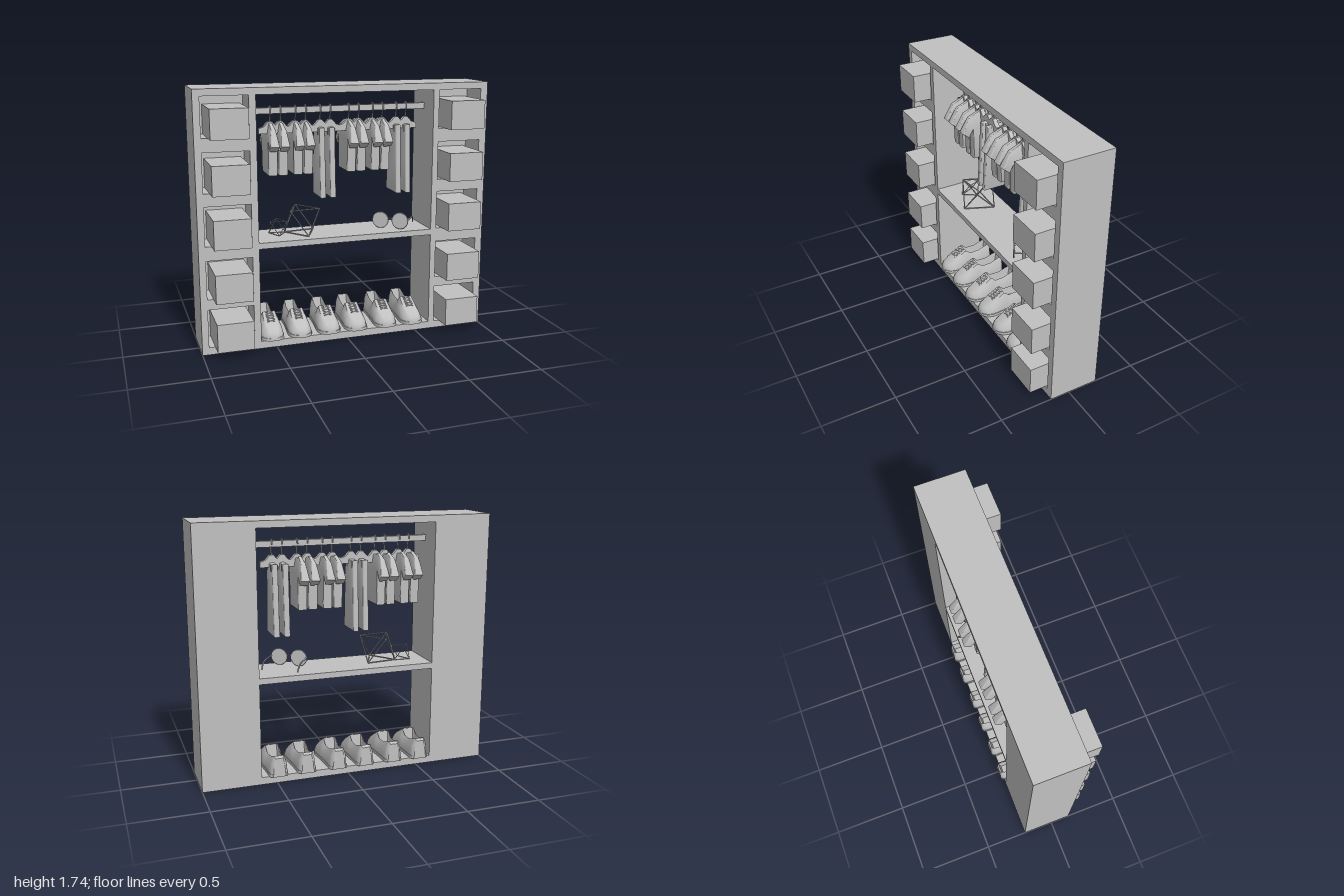
import * as THREE from 'three';
import { toCreasedNormals } from 'three/addons/utils/BufferGeometryUtils.js';

const grey = new THREE.MeshStandardMaterial({ color: 0xc0c0c0 });
grey.name = 'plain grey';

function add(parent, name, geometry) {
  const mesh = new THREE.Mesh(geometry, grey);
  mesh.name = name;
  parent.add(mesh);
  return mesh;
}

// Box given by its limits on each axis
function box(parent, name, x0, x1, y0, y1, z0, z1) {
  const mesh = add(parent, name, new THREE.BoxGeometry(x1 - x0, y1 - y0, z1 - z0));
  mesh.position.set((x0 + x1) / 2, (y0 + y1) / 2, (z0 + z1) / 2);
  return mesh;
}

// Round bar between two points
function strut(parent, name, a, b, r) {
  const mesh = add(parent, name, new THREE.CylinderGeometry(r, r, a.distanceTo(b), 6));
  mesh.position.copy(a).lerp(b, 0.5);
  mesh.quaternion.setFromUnitVectors(new THREE.Vector3(0, 1, 0), b.clone().sub(a).normalize());
}

function tube(parent, name, points, r, steps = 16) {
  const curve = new THREE.CatmullRomCurve3(points.map(p => new THREE.Vector3(...p)));
  return add(parent, name, new THREE.TubeGeometry(curve, steps, r, 6));
}

const shapeOf = points => new THREE.Shape(points.map(p => new THREE.Vector2(...p)));
const mirrored = half => [...half, ...half.slice().reverse().map(([x, y]) => [-x, y])];

// Cabinet: two towers with niches, joined by boards; open at the middle
function addCabinet(root) {
  const g = new THREE.Group();
  g.name = 'cabinet';
  root.add(g);
  const BACK = -0.21, FRONT = 0.135, NICHE = -0.07, TOP = 1.735;
  const levels = [0.05, 0.38, 0.735, 1.08, 1.43];
  for (const [x0, x1, n0] of [[-1, -0.605, -0.955], [0.605, 1, 0.645]]) {
    const face = shapeOf([[x0, 0], [x1, 0], [x1, TOP], [x0, TOP]]);
    for (const y of levels) {
      const hole = [[n0, y], [n0, y + 0.26], [n0 + 0.305, y + 0.26], [n0 + 0.305, y]];
      face.holes.push(new THREE.Path(hole.map(p => new THREE.Vector2(...p))));
      box(g, 'drawer', n0 + 0.04, n0 + 0.282, y + 0.001, y + 0.193, NICHE, 0.25);
    }
    add(g, 'towerFront', new THREE.ExtrudeGeometry(face, { depth: FRONT - NICHE, bevelEnabled: false }))
      .position.z = NICHE;
    box(g, 'towerBack', x0, x1, 0, TOP, BACK, NICHE);
  }
  for (const [name, y0, y1] of [['floorBoard', 0, 0.05], ['shelf', 0.69, 0.73], ['topBoard', 1.69, TOP]])
    box(g, name, -0.605, 0.605, y0, y1, BACK, FRONT);
  box(g, 'clothesRail', -0.605, 0.605, 1.55, 1.59, -0.055, -0.025);
}

// Flat garment in the side plane, thinner towards the top
function garmentGeometry(half, thickness, slimFrom, slimTo) {
  const bevel = 0.01;
  const geo = new THREE.ExtrudeGeometry(shapeOf(mirrored(half)), {
    depth: thickness - 2 * bevel, bevelThickness: bevel, bevelSize: 0.006, bevelOffset: -0.006, bevelSegments: 3,
  });
  geo.translate(0, 0, bevel - thickness / 2).rotateY(Math.PI / 2);
  const p = geo.attributes.position;
  for (let i = 0; i < p.count; i++)
    p.setX(i, p.getX(i) * (1 - 0.6 * THREE.MathUtils.smoothstep(p.getY(i), slimFrom, slimTo)));
  return toCreasedNormals(geo, 0.7);
}

function addClothes(root) {
  const shirt = garmentGeometry([[0.1, 1.15], [0.105, 1.37], [0.135, 1.315], [0.178, 1.35],
    [0.125, 1.455], [0.045, 1.49], [0.03, 1.475]], 0.06, 1.38, 1.49);
  const trousers = garmentGeometry([[0.1, 0.98], [0.085, 1.25], [0.075, 1.45]], 0.038, 1.6, 1.7);
  const hangerShape = shapeOf(mirrored([[0.078, 1.42], [0.078, 1.455], [0.04, 1.468], [0.012, 1.5]]));
  const hanger = new THREE.ExtrudeGeometry(hangerShape, { depth: 0.03, bevelEnabled: false });
  [-0.48, -0.41, -0.31, -0.24, -0.14, -0.07, 0.06, 0.13, 0.23, 0.3, 0.4, 0.47].forEach((x, i) => {
    const g = new THREE.Group();
    g.name = 'hangingGarment';
    g.position.x = x;
    root.add(g);
    add(g, 'hanger', hanger).position.z = -0.055;
    tube(g, 'hook', [[0, 1.49, -0.04], [0, 1.53, -0.035], [0, 1.555, -0.018], [0, 1.59, -0.02],
      [0, 1.6, -0.04], [0, 1.59, -0.06], [0, 1.565, -0.063]], 0.005);
    const long = i % 6 > 3;
    add(g, long ? 'trousers' : 'shirt', long ? trousers : shirt).position.z = long ? -0.06 : -0.067;
    if (long) for (const z of [-0.11, -0.02]) box(g, 'clip', -0.022, 0.022, 1.4, 1.445, z - 0.012, z + 0.012);
  });
}

// Skin over rings of equal length, with flat ends
function loft(rings) {
  const n = rings[0].length, index = [];
  for (let i = 0; i < rings.length - 1; i++) for (let j = 0; j < n; j++) {
    const k = (j + 1) % n, a = i * n + j, b = i * n + k;
    index.push(a, a + n, b + n, a, b + n, b);
  }
  const last = (rings.length - 1) * n;
  for (let j = 1; j < n - 1; j++) index.push(0, j, j + 1, last, last + j + 1, last + j);
  const geo = new THREE.BufferGeometry();
  geo.setAttribute('position', new THREE.Float32BufferAttribute(rings.flat(2), 3));
  geo.setIndex(index);
  return toCreasedNormals(geo.toNonIndexed(), 0.7);
}

function addShoes(root) {
  // z, half width, height, height inside the collar
  const sections = [[-0.235, 0.04, 0.13, 0.13], [-0.222, 0.055, 0.145, 0.145], [-0.205, 0.06, 0.14, 0.05],
    [-0.13, 0.062, 0.115, 0.05], [-0.06, 0.066, 0.115, 0.05], [-0.035, 0.069, 0.14, 0.05],
    [-0.02, 0.07, 0.148, 0.15], [0.05, 0.077, 0.105, 0.11], [0.09, 0.077, 0.08, 0.085],
    [0.125, 0.065, 0.06, 0.065], [0.147, 0.042, 0.045, 0.047], [0.155, 0.025, 0.03, 0.031]];
  const upper = loft(sections.map(([z, w, h, inner]) => {
    const half = [[w, 0], [w, 0.25 * h], [0.9 * w, 0.65 * h], [0.62 * w, h], [0.5 * w, inner]];
    return [...half.map(([x, y]) => [-x, y, z]), ...half.reverse().map(([x, y]) => [x, y, z])];
  }));
  const sole = loft(sections.map(([z, w]) =>
    [[-w - 0.004, 0, z], [-w - 0.004, 0.02, z], [w + 0.004, 0.02, z], [w + 0.004, 0, z]]));
  for (const x of [-0.52, -0.325, -0.12, 0.075, 0.295, 0.49]) {
    const g = new THREE.Group();
    g.name = 'shoe';
    g.position.set(x, 0.05, 0);
    root.add(g);
    add(g, 'upper', upper);
    add(g, 'sole', sole);
    // Crossed laces down the tongue
    for (let i = 0; i < 4; i++) for (const s of [-1, 1]) {
      const z = -0.01 + i * 0.02, y = 0.149 - i * 0.0115;
      strut(g, 'lace', new THREE.Vector3(-0.026 * s, y, z), new THREE.Vector3(0.026 * s, y - 0.008, z + 0.016), 0.003);
    }
  }
}

// Wire octahedron resting on one face
function addWireFrame(root, x, z, edge, r, turn) {
  const g = new THREE.Group();
  g.name = 'wireOrnament';
  g.position.set(x, 0.735, z);
  root.add(g);
  const corners = [0, 1, 2, 3, 4, 5].map(i => {
    const a = turn + i * Math.PI / 3, R = edge / Math.sqrt(3);
    return new THREE.Vector3(R * Math.cos(a), i % 2 ? r : edge * 0.816, R * Math.sin(a));
  });
  for (let i = 0; i < 6; i++) for (const step of [1, 2])
    strut(g, 'wire', corners[i], corners[(i + step) % 6], r);
}

function addGlasses(root) {
  const g = new THREE.Group();
  g.name = 'glasses';
  g.position.set(0.343, 0.79, 0.033);
  g.rotation.y = -0.58;
  root.add(g);
  for (const s of [-1, 1]) {
    const lens = add(g, 'lens', new THREE.CylinderGeometry(0.055, 0.055, 0.006, 28));
    lens.rotation.x = Math.PI / 2;
    lens.position.x = s * 0.069;
    add(g, 'rim', new THREE.TorusGeometry(0.055, 0.004, 6, 28)).position.x = s * 0.069;
    tube(g, 'temple', [[s * 0.124, 0.005, 0], [s * 0.126, 0.005, -0.06], [s * 0.126, 0.003, -0.13],
      [s * 0.125, -0.015, -0.175], [s * 0.122, -0.045, -0.2]], 0.005);
  }
  tube(g, 'bridge', [[-0.02, 0.01, 0], [0, 0.016, 0], [0.02, 0.01, 0]], 0.004, 6);
}

export function createModel() {
  const root = new THREE.Group();
  root.name = 'wardrobe';
  addCabinet(root);
  addClothes(root);
  addShoes(root);
  addWireFrame(root, -0.274, -0.03, 0.21, 0.004, 0.4);
  addWireFrame(root, -0.437, -0.05, 0.112, 0.0025, 0.6);
  addGlasses(root);
  return root;
}
